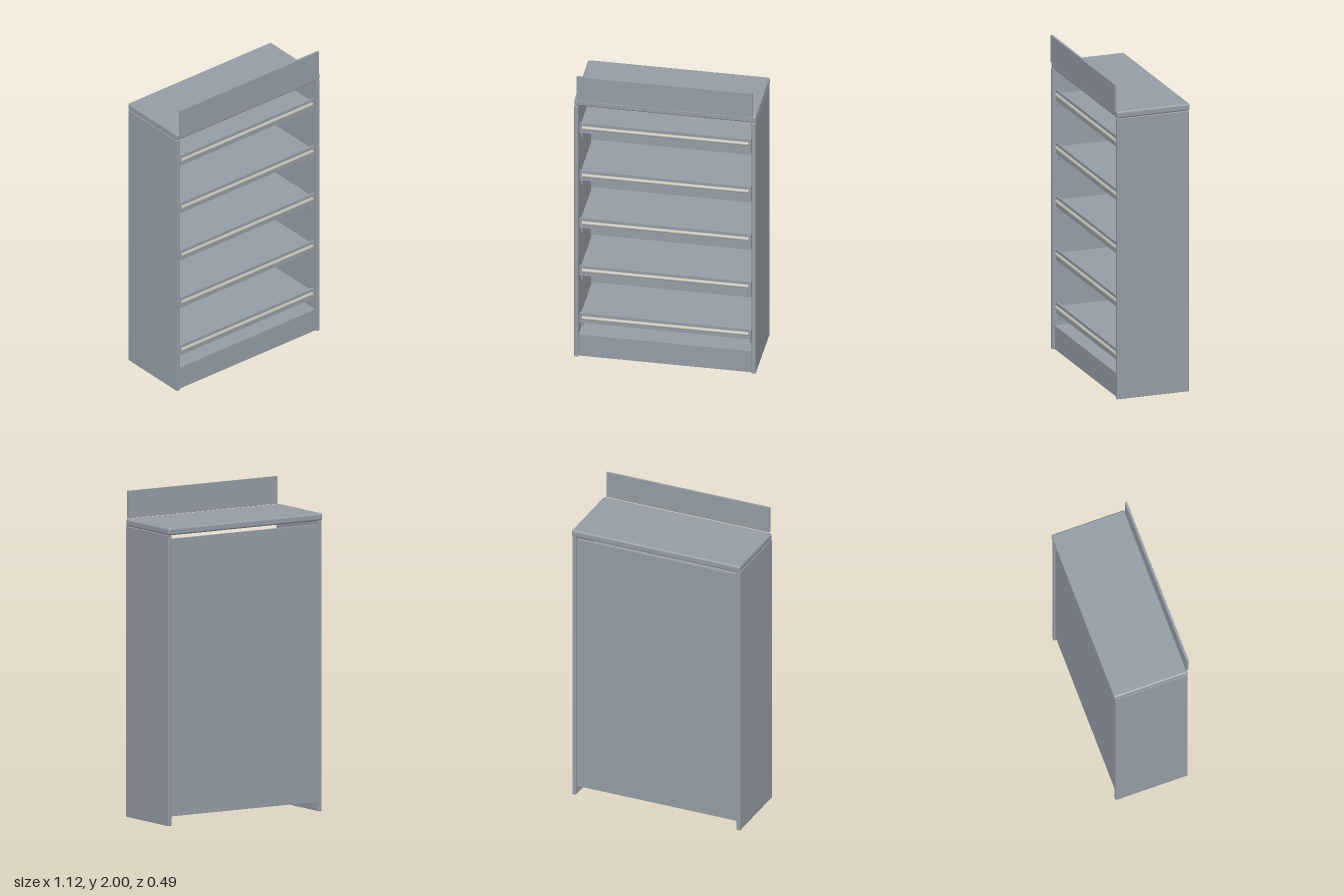
import * as THREE from 'three';
import { RoundedBoxGeometry } from 'three/addons/geometries/RoundedBoxGeometry.js';

const paint = new THREE.MeshStandardMaterial({ color: 0x959da5 });
paint.name = 'greyPaint';
const railPaint = new THREE.MeshStandardMaterial({ color: 0xb9b9b0 });
railPaint.name = 'paleRail';

// Box given by its limits on each axis; radius > 0 rounds the edges
function panel(name, [x0, x1], [y0, y1], [z0, z1], radius = 0) {
  const size = [x1 - x0, y1 - y0, z1 - z0];
  const geometry = radius
    ? new RoundedBoxGeometry(...size, 3, radius)
    : new THREE.BoxGeometry(...size);
  const mesh = new THREE.Mesh(geometry, paint);
  mesh.name = name;
  mesh.position.set((x0 + x1) / 2, (y0 + y1) / 2, (z0 + z1) / 2);
  return mesh;
}

// Shelf with upright front lip, round rail and two brackets; y is the lip centre
function createShelf(y) {
  const shelf = new THREE.Group();
  shelf.name = 'shelf';
  shelf.position.y = y;
  shelf.add(panel('shelfBoard', [-0.53, 0.53], [-0.018, 0.008], [-0.198, 0.202]));
  shelf.add(panel('shelfLip', [-0.53, 0.53], [-0.035, 0.035], [0.2, 0.212]));

  const rail = new THREE.Mesh(new THREE.CylinderGeometry(0.012, 0.012, 1.03, 20), railPaint);
  rail.name = 'shelfRail';
  rail.rotation.z = Math.PI / 2;
  rail.position.set(0, 0.004, 0.214);
  shelf.add(rail);

  for (const s of [-1, 1]) {
    const x = s * 0.52;
    shelf.add(panel('shelfBracket', [x - 0.006, x + 0.006], [-0.074, -0.018], [-0.198, 0.2], 0.003));
  }
  return shelf;
}

export function createModel() {
  const model = new THREE.Group();
  model.name = 'displayCabinet';

  // Carcass
  model.add(panel('leftSide', [0.536, 0.561], [0, 1.786], [-0.235, 0.232], 0.004));
  model.add(panel('rightSide', [-0.561, -0.536], [0, 1.786], [-0.235, 0.232], 0.004));
  model.add(panel('topBoard', [-0.562, 0.562], [1.786, 1.831], [-0.243, 0.232], 0.012));
  model.add(panel('backPanel', [-0.536, 0.536], [0.056, 1.76], [-0.222, -0.2]));
  model.add(panel('bottomBoard', [-0.536, 0.536], [0.132, 0.152], [-0.2, 0.22]));
  model.add(panel('kickBoard', [-0.536, 0.536], [0, 0.132], [0.195, 0.217]));
  model.add(panel('headerBoard', [-0.544, 0.544], [1.831, 2], [0.229, 0.243]));

  // Narrow seams on the inside of the back
  for (let i = -2; i <= 2; i++) {
    const x = i * 0.2;
    model.add(panel('backSeam', [x - 0.002, x + 0.002], [0.152, 1.676], [-0.201, -0.198]));
  }

  // Five evenly spaced shelves
  for (let i = 0; i < 5; i++) model.add(createShelf(0.266 + i * 0.3385));

  return model;
}
